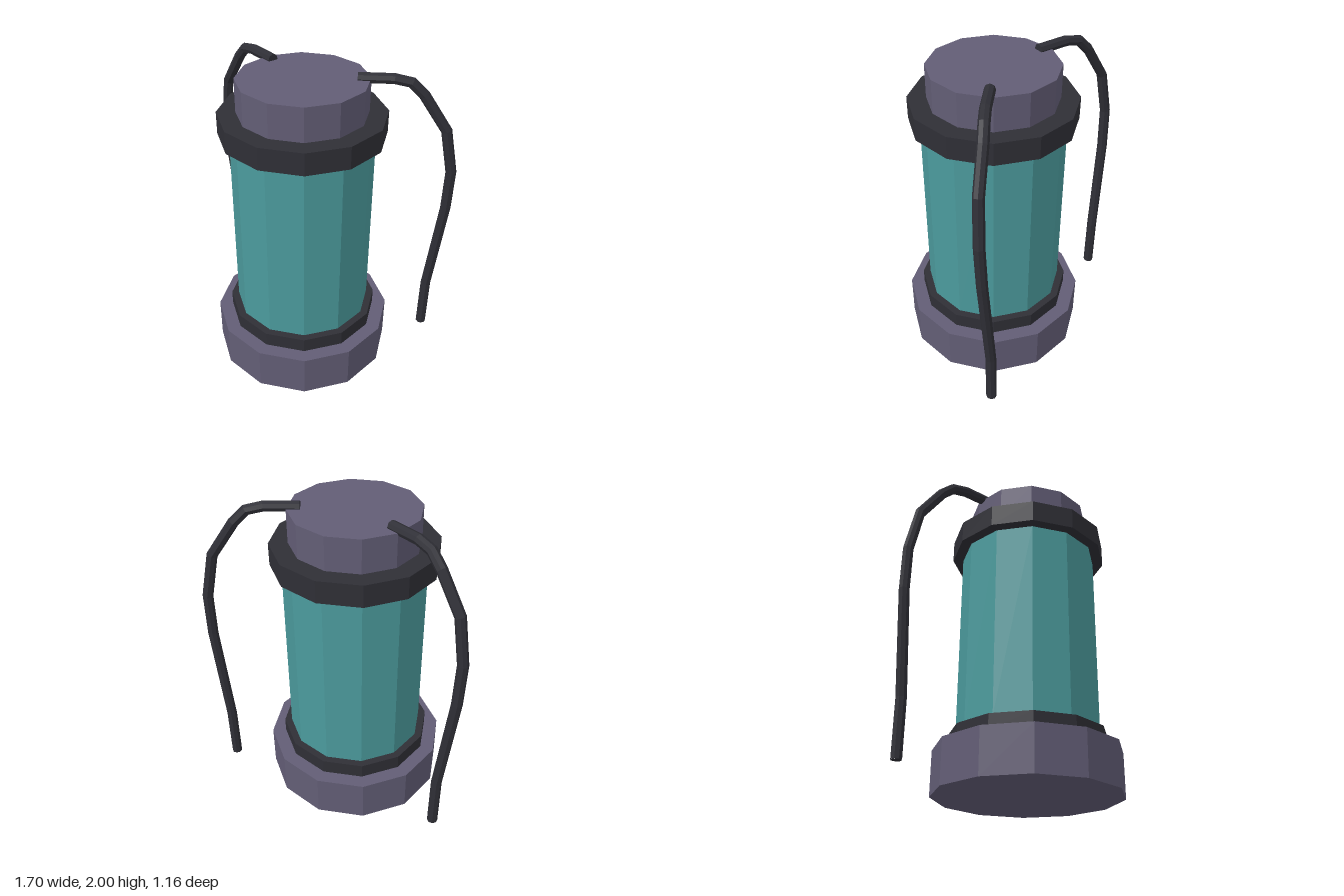
import * as THREE from 'three';

// Curve that passes through its points in straight runs with mitred corners
class BentPath extends THREE.Curve {
  constructor(points) {
    super();
    this.points = points;
  }
  getPoint(t, target = new THREE.Vector3()) {
    const last = this.points.length - 1;
    const i = Math.min(Math.floor(t * last + 1e-6), last - 1);
    return target.lerpVectors(this.points[i], this.points[i + 1], t * last - i);
  }
  getPointAt(u, target) {
    return this.getPoint(u, target);
  }
  getTangentAt(u, target = new THREE.Vector3()) {
    const p = this.points, last = p.length - 1;
    const i = Math.round(u * last);
    const here = p[i];
    target.set(0, 0, 0);
    if (i > 0) target.add(here.clone().sub(p[i - 1]).normalize());
    if (i < last) target.add(p[i + 1].clone().sub(here).normalize());
    return target.normalize();
  }
}

export function createModel() {
  const model = new THREE.Group();
  model.name = 'canister';

  const material = (name, color) => {
    const m = new THREE.MeshStandardMaterial({ color, flatShading: true });
    m.name = name;
    return m;
  };
  const metal = material('purple grey metal', 0x625d75);
  const glass = material('teal glass', 0x4b9a9c);
  const rubber = material('dark rubber', 0x2f2f36);

  // Stacked twelve-sided body: name, radius, bottom, top, material
  const stack = [
    ['base', 0.58, 0, 0.28, metal],
    ['lowerCollar', 0.49, 0.28, 0.375, rubber],
    ['glassTank', 0.443, 0.375, 1.61, glass],
    ['upperCollar', 0.51, 1.61, 1.75, rubber],
    ['cap', 0.395, 1.75, 1.96, metal],
  ];
  for (const [name, radius, bottom, top, mat] of stack) {
    const mesh = new THREE.Mesh(new THREE.CylinderGeometry(radius, radius, top - bottom, 12), mat);
    mesh.name = name;
    mesh.position.y = (bottom + top) / 2;
    model.add(mesh);
  }

  // Hoses that leave the cap and hang down at the sides
  const route = [
    [0.28, 1.967, -0.14], [0.47, 1.967, -0.225], [0.56, 1.945, -0.27],
    [0.63, 1.87, -0.305], [0.77, 1.65, -0.36], [0.82, 1.37, -0.39],
    [0.813, 1.1, -0.4], [0.743, 0.45, -0.412], [0.74, 0.1, -0.414],
  ];
  const hoseRadius = 0.033;
  for (const side of [1, -1]) {
    const hose = new THREE.Group();
    hose.name = side > 0 ? 'leftHose' : 'rightHose';
    const points = route.map(([x, y, z]) => new THREE.Vector3(side * x, y, z));
    const path = new BentPath(points);
    const tube = new THREE.Mesh(
      new THREE.TubeGeometry(path, points.length - 1, hoseRadius, 8, false), rubber);
    tube.name = 'hoseTube';
    hose.add(tube);
    // Closed ends
    for (const end of [0, 1]) {
      const plug = new THREE.Mesh(new THREE.CircleGeometry(hoseRadius, 8), rubber);
      plug.name = 'hoseEnd';
      const out = path.getTangentAt(end).multiplyScalar(end ? 1 : -1);
      plug.position.copy(points[end ? points.length - 1 : 0]);
      plug.quaternion.setFromUnitVectors(new THREE.Vector3(0, 0, 1), out);
      hose.add(plug);
    }
    model.add(hose);
  }

  return model;
}
